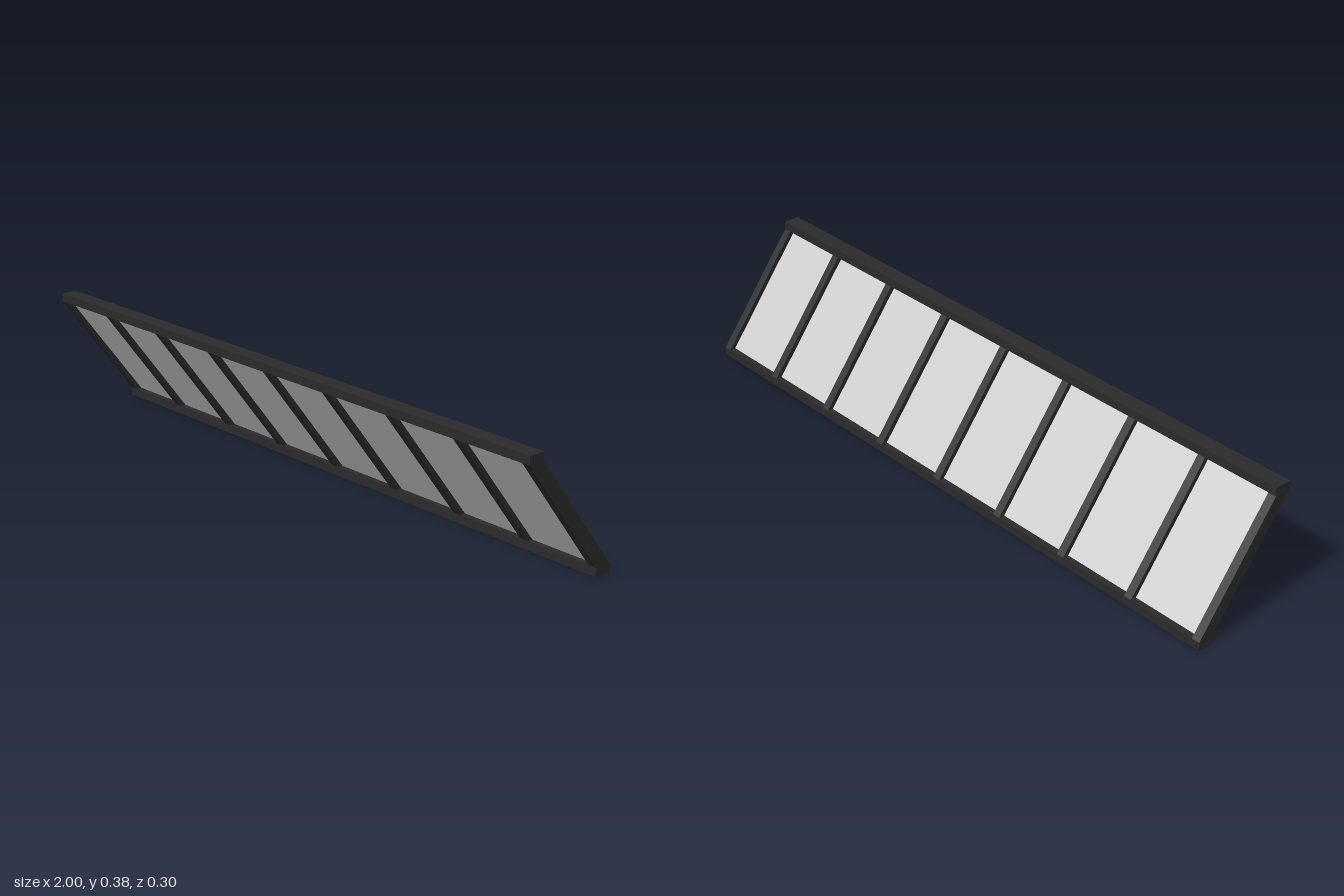
import * as THREE from 'three';

const HALF = 1;          // half length along x
const BAR = 0.025;       // bar width and rail height
const DEPTH = 0.05;      // frame depth along z
const TOP = 0.375;       // overall height
const LEAN = 0.125;      // z of the rail centres (top forward, bottom back)
const BAYS = 8;

// Sheared slab running from the bottom rail up to the top rail
function slantedSlab(width, depth) {
  const h = depth / 2, y0 = BAR, y1 = TOP - BAR;
  // shape x stands for -z, so that after the turn below the extrusion runs along +x
  const shape = new THREE.Shape([
    new THREE.Vector2(LEAN - h, y0),
    new THREE.Vector2(LEAN + h, y0),
    new THREE.Vector2(-LEAN + h, y1),
    new THREE.Vector2(-LEAN - h, y1),
  ]);
  const geo = new THREE.ExtrudeGeometry(shape, { depth: width, bevelEnabled: false });
  geo.translate(0, 0, -width / 2);
  geo.rotateY(Math.PI / 2);
  return geo;
}

export function createModel() {
  const model = new THREE.Group();
  model.name = 'slantedWindow';
  const frameMat = new THREE.MeshStandardMaterial({ color: 0x2a2a2a });
  const paneMat = new THREE.MeshStandardMaterial({ color: 0xcccccc });

  const add = (name, geo, mat, x, y = 0, z = 0) => {
    const mesh = new THREE.Mesh(geo, mat);
    mesh.name = name;
    mesh.position.set(x, y, z);
    model.add(mesh);
  };

  // Top and bottom rails
  const rail = new THREE.BoxGeometry(2 * HALF, BAR, DEPTH);
  add('topRail', rail, frameMat, 0, TOP - BAR / 2, LEAN);
  add('bottomRail', rail, frameMat, 0, BAR / 2, -LEAN);

  // Slanted bars, the end ones flush with the rail ends
  const bar = slantedSlab(BAR, DEPTH);
  const limit = HALF - BAR / 2;
  const barX = [];
  for (let i = 0; i <= BAYS; i++) {
    const x = THREE.MathUtils.clamp(-HALF + (i * 2 * HALF) / BAYS, -limit, limit);
    barX.push(x);
    add(i === 0 || i === BAYS ? 'endBar' : 'dividerBar', bar, frameMat, x);
  }

  // Thin panes set in the middle of the frame depth
  for (let i = 0; i < BAYS; i++) {
    const width = barX[i + 1] - barX[i] - BAR;
    add('pane', slantedSlab(width, 0.014), paneMat, (barX[i] + barX[i + 1]) / 2);
  }
  return model;
}
